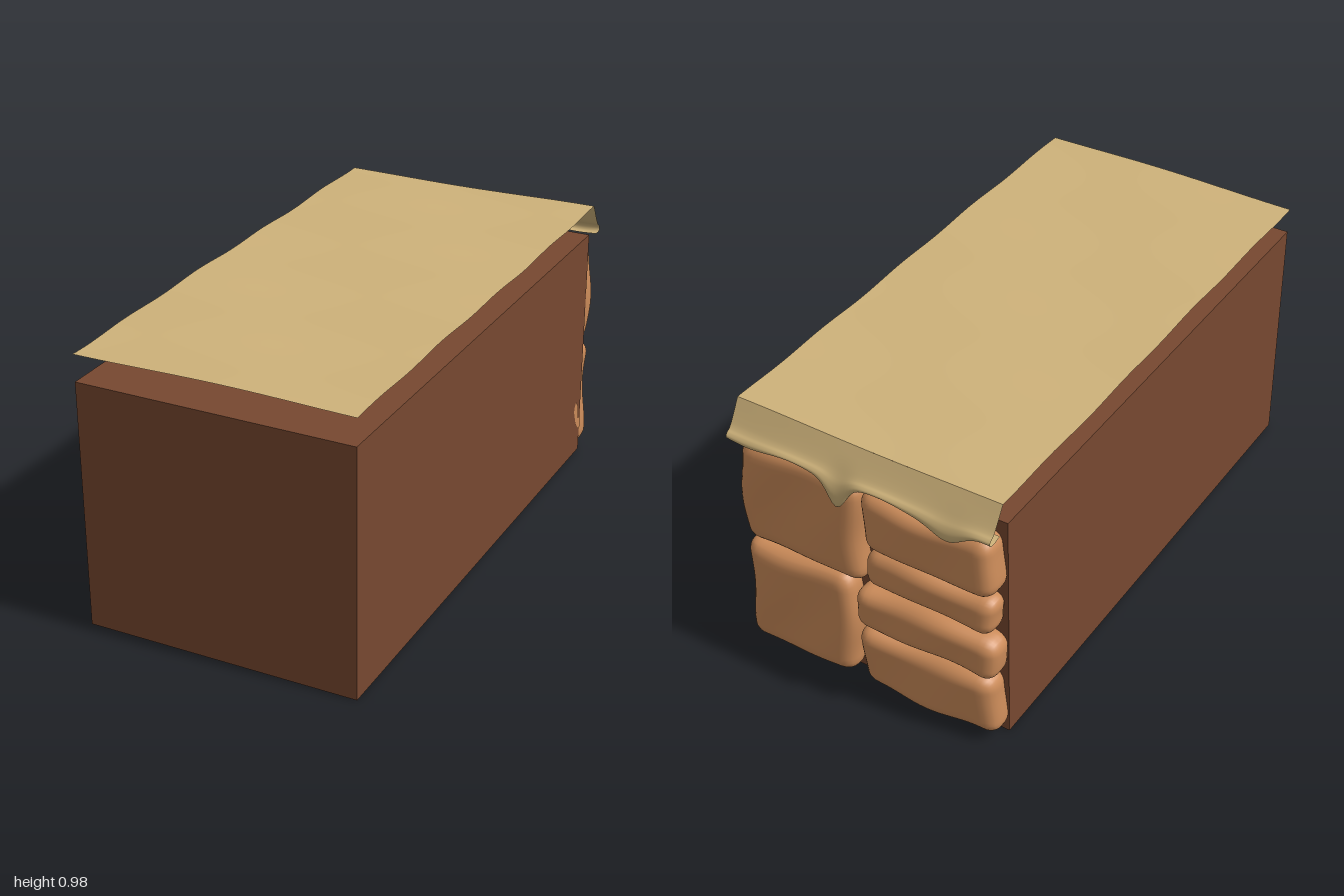
import * as THREE from 'three';
import { mergeVertices } from 'three/addons/utils/BufferGeometryUtils.js';

const mat = (name, color, side = THREE.FrontSide) => {
  const m = new THREE.MeshStandardMaterial({ color, side });
  m.name = name;
  return m;
};

const mesh = (name, geometry, material) => {
  const m = new THREE.Mesh(geometry, material);
  m.name = name;
  return m;
};

// Smooth surface from a rule p(u, v) on a grid
function sheet(nu, nv, p) {
  const g = new THREE.PlaneGeometry(1, 1, nu, nv);
  const pos = g.attributes.position, uv = g.attributes.uv;
  for (let i = 0; i < pos.count; i++) pos.setXYZ(i, ...p(uv.getX(i), uv.getY(i)));
  g.computeVertexNormals();
  return g;
}

// Pillow-shaped stone: a fine box with rounded edges and a gentle wobble
function stoneGeometry(x0, x1, y0, y1, depth, seed) {
  const size = new THREE.Vector3(x1 - x0, y1 - y0, depth);
  let g = new THREE.BoxGeometry(size.x, size.y, size.z, 26, 20, 10);
  const r = Math.min(0.05, size.y * 0.34);
  const inner = size.clone().multiplyScalar(0.5).subScalar(r);
  inner.z = Math.max(inner.z, 0.005);
  const pos = g.attributes.position;
  const v = new THREE.Vector3(), c = new THREE.Vector3();
  for (let i = 0; i < pos.count; i++) {
    v.fromBufferAttribute(pos, i);
    c.copy(v).clamp(inner.clone().negate(), inner);
    v.sub(c);
    if (v.lengthSq() > 0) v.setLength(r);
    v.add(c);
    const { x, y } = v;
    v.x += 0.008 * Math.sin(y * 16 + seed * 2.1);
    v.y += 0.008 * Math.sin(x * 13 + seed * 1.7);
    if (v.z < 0) v.z += 0.006 * Math.sin(x * 17 + y * 11 + seed);
    pos.setXYZ(i, v.x, v.y, v.z);
  }
  g.deleteAttribute('normal');
  g.deleteAttribute('uv');
  g = mergeVertices(g, 1e-4);
  g.computeVertexNormals();
  g.translate((x0 + x1) / 2, (y0 + y1) / 2, -0.865 - depth / 2);
  return g;
}

export function createModel() {
  const group = new THREE.Group();
  const earth = mat('brown earth', 0x774830);
  const clay = mat('orange stone', 0xcb8b59);
  const sand = mat('pale sand', 0xceb27a, THREE.DoubleSide);
  const clayThin = mat('orange stone chip', 0xcb8b59, THREE.DoubleSide);

  // Solid block
  const body = mesh('body', new THREE.BoxGeometry(0.975, 0.88, 1.89), earth);
  body.position.set(0, 0.44, 0.055);
  group.add(body);

  // Stones on the back wall: x0, x1, y0, y1, depth
  const stones = new THREE.Group();
  stones.name = 'stones';
  [
    [0.02, 0.482, 0.445, 0.855, 0.11],
    [0.06, 0.482, 0.015, 0.435, 0.115],
    [-0.482, 0.0, 0.62, 0.84, 0.125],
    [-0.482, 0.0, 0.46, 0.605, 0.115],
    [-0.482, 0.05, 0.275, 0.44, 0.125],
    [-0.482, 0.03, 0.025, 0.26, 0.12],
  ].forEach((s, i) => stones.add(mesh('stone', stoneGeometry(...s, i + 1), clay)));
  group.add(stones);

  // Hooked sliver of stone showing through the left wall
  const chip = new THREE.Shape([
    [-0.825, 0.2], [-0.84, 0.22], [-0.862, 0.195], [-0.868, 0.14], [-0.89, 0.135],
    [-0.89, 0.09], [-0.87, 0.095], [-0.845, 0.125], [-0.823, 0.18],
  ].map(([z, y]) => new THREE.Vector2(-z, y)));
  const chipMesh = mesh('stoneChip', new THREE.ShapeGeometry(chip), clayThin);
  chipMesh.rotation.y = Math.PI / 2;
  chipMesh.position.x = 0.4895;
  group.add(chipMesh);

  // Gently rippled top sheet
  const topY = (x, z) => 0.977 + 0.003 * Math.sin(z * 14 + x * 4) + 0.002 * Math.sin(x * 7 - z * 5);
  group.add(mesh('topSheet', sheet(24, 80, (u, v) => {
    const x = (u - 0.5) * 0.98, z = 1 - v * 1.92;
    return [x, topY(x, z), z];
  }), sand));

  // Overhanging lip with drips, swept along x
  const bump = (x, c, w) => Math.exp(-(((x - c) / w) ** 2));
  const drip = (x) => 0.085 * bump(x, 0.07, 0.045) + 0.05 * bump(x, -0.34, 0.075)
    + 0.008 * Math.sin(x * 19);
  // Profile points: z, y, share of the drip
  const profile = [
    [-0.92, 0.977, 0], [-0.945, 0.935, 0], [-0.968, 0.9, 0.1], [-0.987, 0.885, 0.35],
    [-0.994, 0.872, 0.75], [-0.985, 0.862, 1], [-0.965, 0.862, 0.85], [-0.94, 0.868, 0.3],
  ];
  const curve = new THREE.CatmullRomCurve3(profile.map(([z, y, k]) => new THREE.Vector3(k, y, z)));
  group.add(mesh('drippingLip', sheet(80, 28, (u, v) => {
    const x = (u - 0.5) * 0.98, p = curve.getPoint(v), d = drip(x) * p.x;
    const y = p.y - d + (topY(x, -0.92) - 0.977) * Math.max(0, 1 - v * 4);
    return [x, y, Math.max(-1, p.z - d * 0.08)];
  }), sand));

  return group;
}
